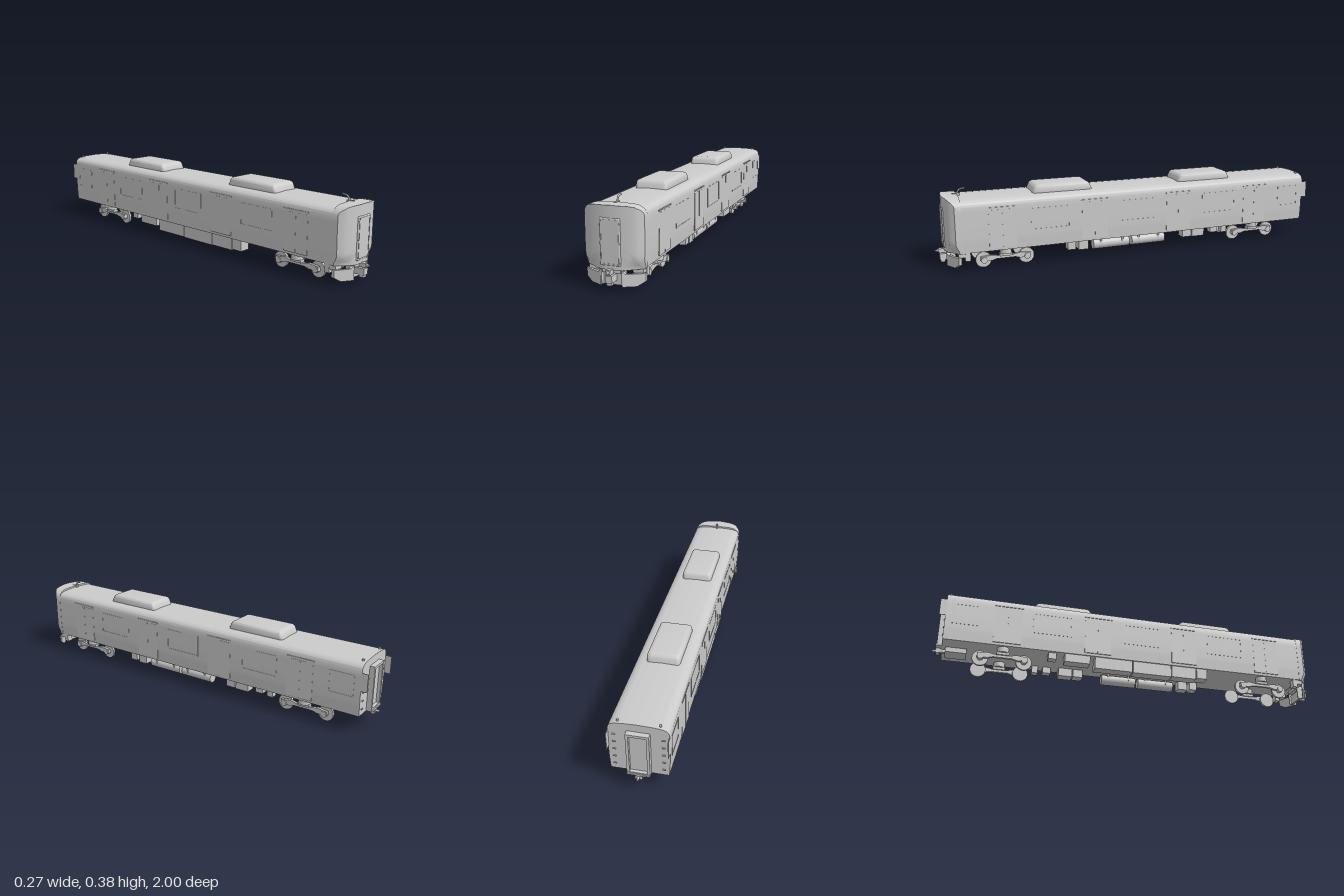
import * as THREE from 'three';
import { toCreasedNormals } from 'three/addons/utils/BufferGeometryUtils.js';
import { RoundedBoxGeometry } from 'three/addons/geometries/RoundedBoxGeometry.js';

const grey = new THREE.MeshStandardMaterial({ color: 0xcccccc });
const smooth = THREE.MathUtils.smoothstep;

function add(parent, name, geo, x = 0, y = 0, z = 0) {
  const m = new THREE.Mesh(geo, grey);
  m.name = name;
  m.position.set(x, y, z);
  parent.add(m);
  return m;
}

// Box given by its limits
function block(parent, name, x0, x1, y0, y1, z0, z1) {
  const geo = new THREE.BoxGeometry(Math.abs(x1 - x0), y1 - y0, Math.abs(z1 - z0));
  return add(parent, name, geo, (x0 + x1) / 2, (y0 + y1) / 2, (z0 + z1) / 2);
}

// Closed cross-section, counter-clockwise, from the points of its +x half
function section(half) {
  const pts = [...half, ...half.filter(p => p[0] > 0).reverse().map(([x, y]) => [-x, y])];
  return pts.flatMap(([x, y], i) => {
    const [nx, ny] = pts[(i + 1) % pts.length];
    return [0, 1, 2, 3].map(k => [x + (nx - x) * k / 4, y + (ny - y) * k / 4]);
  });
}

// Bowed cab face, drawn back at the lower corners
function nose(x, y) {
  const a = Math.abs(x);
  return 0.955 - 1.9 * a * a - 0.012 * smooth(a, 0.105, 0.133)
    - 0.02 * (1 - smooth(y, 0.09, 0.14)) * smooth(a, 0.05, 0.1);
}

// Shell along z with capped ends; each end is a z value or a function of x and y
function shell(ring, back, front) {
  const at = (f, x, y) => (typeof f === 'function' ? f(x, y) : f);
  const scales = [0.001, 0.2, 0.4, 0.6, 0.75, 0.85, 0.93, 1];
  const rows = [...scales.map(s => [s, back]), ...scales.slice().reverse().map(s => [s, front])];
  const pos = [], idx = [], n = ring.length;
  rows.forEach(([s, f], k) => ring.forEach(([rx, ry], i) => {
    const x = rx * s, y = 0.22 + (ry - 0.22) * s;
    pos.push(x, y, at(f, x, y));
    if (k < rows.length - 1) {
      const a = k * n + i, b = k * n + (i + 1) % n;
      idx.push(a, b, b + n, a, b + n, a + n);
    }
  }));
  const geo = new THREE.BufferGeometry();
  geo.setAttribute('position', new THREE.Float32BufferAttribute(pos, 3));
  geo.setIndex(idx);
  return toCreasedNormals(geo, 0.6);
}

// Rectangular frame facing +z
function frame(w, h, t, depth) {
  const rect = (p, a, b) => p.moveTo(-a, -b).lineTo(a, -b).lineTo(a, b).lineTo(-a, b).closePath();
  const s = rect(new THREE.Shape(), w / 2, h / 2);
  s.holes.push(rect(new THREE.Path(), w / 2 - t, h / 2 - t));
  return new THREE.ExtrudeGeometry(s, { depth, bevelEnabled: false });
}

function cylinder(parent, name, r, len, axis, x, y, z, sides = 24) {
  const geo = new THREE.CylinderGeometry(r, r, len, sides);
  if (axis === 'x') geo.rotateZ(Math.PI / 2);
  if (axis === 'z') geo.rotateX(Math.PI / 2);
  return add(parent, name, geo, x, y, z);
}

function makeBogie(z) {
  const g = new THREE.Group();
  g.name = 'bogie';
  g.position.z = z;
  for (const s of [-1, 1]) {
    for (const dz of [-0.104, 0.104]) {
      cylinder(g, 'wheel', 0.038, 0.012, 'x', s * 0.07, 0.038, dz, 32);
      cylinder(g, 'axleBox', 0.015, 0.024, 'x', s * 0.088, 0.04, dz, 16);
    }
    // Side frame, dropped in the middle
    const f = new THREE.Shape();
    [[-0.12, 0.035], [-0.07, 0.035], [-0.045, 0.042], [0.045, 0.042], [0.07, 0.035], [0.12, 0.035],
      [0.12, 0.056], [0.07, 0.062], [0.035, 0.056], [-0.035, 0.056], [-0.07, 0.062], [-0.12, 0.056]]
      .forEach(([u, v], i) => (i ? f.lineTo(u, v) : f.moveTo(u, v)));
    const geo = new THREE.ExtrudeGeometry(f, { depth: 0.014, bevelEnabled: false });
    geo.rotateY(Math.PI / 2);
    add(g, 'sideFrame', geo, s * 0.09 - 0.007);
    cylinder(g, 'airSpring', 0.028, 0.026, 'y', s * 0.09, 0.079, 0);
    block(g, 'springSeat', s * 0.075, s * 0.105, 0.054, 0.068, -0.03, 0.03);
  }
  return g;
}

export function createModel() {
  const car = new THREE.Group();
  car.name = 'railCar';

  // Body and slightly larger cab shell
  const body = section([[0, 0.092], [0.126, 0.092], [0.13, 0.15], [0.131, 0.2], [0.131, 0.31],
    [0.127, 0.323], [0.117, 0.333], [0.1, 0.339], [0.06, 0.343], [0, 0.345]]);
  const cab = section([[0, 0.09], [0.128, 0.09], [0.131, 0.15], [0.132, 0.2], [0.132, 0.315],
    [0.128, 0.325], [0.117, 0.337], [0.1, 0.347], [0.075, 0.351], [0, 0.354]]);
  add(car, 'body', shell(body, -0.957, 0.89));
  add(car, 'cab', shell(cab, 0.88, nose));

  // Cab end door with frame
  const door = new RoundedBoxGeometry(0.09, 0.196, 0.014, 3, 0.006);
  add(car, 'frontDoor', door, 0, 0.205, 0.95);
  add(car, 'frontDoorFrame', frame(0.078, 0.182, 0.002, 0.002), 0, 0.205, 0.9565);
  for (const s of [-1, 1]) for (const y of [0.12, 0.2, 0.28])
    block(car, 'doorHinge', s * 0.041, s * 0.043, y - 0.003, y + 0.003, 0.955, 0.959);

  // Side doors, gutters, windows and end plates
  for (const s of [-1, 1]) {
    for (const z of [0.69, 0.235, -0.215, -0.66]) {
      block(car, 'sideDoor', s * 0.12, s * 0.1316, 0.105, 0.29, z - 0.066, z + 0.066);
      block(car, 'doorSeam', s * 0.12, s * 0.1322, 0.105, 0.29, z - 0.001, z + 0.001);
      block(car, 'doorGutter', s * 0.125, s * 0.1345, 0.297, 0.303, z - 0.07, z + 0.07);
    }
    for (const [z, w] of [[0.46, 0.19], [0.005, 0.19], [-0.445, 0.19], [-0.865, 0.12]]) {
      const f = add(car, 'windowFrame', frame(w, 0.105, 0.003, 0.003), s * 0.129, 0.23, z);
      f.rotation.y = s * Math.PI / 2;
    }
    block(car, 'endPlate', s * 0.128, s * 0.131, 0.215, 0.3, -0.986, -0.95);
    for (const y of [0.12, 0.16, 0.2, 0.24, 0.28])
      block(car, 'endStep', s * 0.098, s * 0.112, y, y + 0.004, -0.962, -0.955);
    cylinder(car, 'roofEye', 0.006, 0.008, 'y', s * 0.09, 0.345, -0.94, 12);
  }

  // Rear gangway
  const gangway = add(car, 'gangwayFrame', frame(0.1, 0.215, 0.012, 0.026), 0, 0.2, -0.955);
  gangway.rotation.y = Math.PI;
  block(car, 'gangwayDoor', -0.04, 0.04, 0.095, 0.3, -0.966, -0.95);
  block(car, 'gangwaySill', -0.05, 0.05, 0.092, 0.1, -0.986, -0.955);

  // Rooftop units, sloped at the ends
  for (const z of [0.38, -0.385]) {
    const geo = new RoundedBoxGeometry(0.154, 0.06, 0.3, 4, 0.018);
    const p = geo.attributes.position;
    for (let i = 0; i < p.count; i++) {
      const t = (p.getY(i) + 0.03) / 0.06;
      p.setZ(i, p.getZ(i) * (1.06 - 0.16 * t));
    }
    geo.computeVertexNormals();
    add(car, 'roofUnit', toCreasedNormals(geo, 0.7), 0, 0.351, z);
  }

  // Roof aerial
  const path = new THREE.CatmullRomCurve3([[0.885, 0.34], [0.875, 0.36], [0.865, 0.374], [0.84, 0.378]]
    .map(([z, y]) => new THREE.Vector3(0, y, z)));
  add(car, 'aerial', new THREE.TubeGeometry(path, 10, 0.004, 8));
  block(car, 'aerialBase', -0.006, 0.006, 0.342, 0.356, 0.865, 0.9);

  // Front skirt: two swept wings and a recessed centre
  for (const s of [-1, 1]) {
    const w = new THREE.Shape();
    [[0.048, 0.02], [0.1, 0.02], [0.131, 0.04], [0.131, 0.073], [0.06, 0.073], [0.048, 0.085]]
      .forEach(([x, y], i) => (i ? w.lineTo(s * x, y) : w.moveTo(s * x, y)));
    const geo = new THREE.ExtrudeGeometry(w, { depth: 0.014, bevelEnabled: false });
    const p = geo.attributes.position;
    for (let i = 0; i < p.count; i++)
      p.setZ(i, p.getZ(i) + 0.972 - 0.55 * Math.abs(p.getX(i)));
    geo.computeVertexNormals();
    add(car, 'skirtWing', geo, 0, 0, -0.012);
    block(car, 'skirtBracket', s * 0.075, s * 0.12, 0.07, 0.092, 0.87, 0.9);
    block(car, 'skirtStay', s * 0.044, s * 0.05, 0.022, 0.092, 0.905, 0.945);
  }
  block(car, 'skirtCentre', -0.048, 0.048, 0.02, 0.068, 0.915, 0.925);
  block(car, 'couplerBeam', -0.04, 0.04, 0.075, 0.095, 0.9, 0.945);

  // Couplers
  block(car, 'frontCoupler', -0.015, 0.015, 0.04, 0.07, 0.92, 0.975);
  block(car, 'couplerHook', -0.011, 0.011, 0.028, 0.045, 0.95, 0.97);
  block(car, 'couplerHead', -0.01, 0.01, 0.074, 0.094, 0.92, 0.978);
  const tip = new THREE.ConeGeometry(0.011, 0.026, 4).rotateX(Math.PI / 2);
  add(car, 'couplerTip', tip, 0, 0.084, 0.987);
  block(car, 'rearCouplerBeam', -0.04, 0.04, 0.068, 0.095, -0.94, -0.84);
  block(car, 'rearDrawbar', -0.01, 0.01, 0.075, 0.09, -0.985, -0.93);
  block(car, 'rearCouplerHead', -0.016, 0.016, 0.068, 0.096, -0.982, -0.965);
  cylinder(car, 'rearCouplerPin', 0.006, 0.02, 'z', 0, 0.082, -0.99, 10);
  block(car, 'cabStep', 0.09, 0.122, 0.052, 0.092, 0.845, 0.87);
  block(car, 'cabStep', -0.122, -0.09, 0.052, 0.092, 0.845, 0.87);

  car.add(makeBogie(0.675), makeBogie(-0.672));

  // Underfloor equipment: x range, bottom, z range
  const boxes = [
    [0.06, 0.11, 0.05, 0.37, 0.42 - 0.09], [0.06, 0.11, 0.045, 0.315, 0.265],
    [0.06, 0.11, 0.052, -0.25, -0.3], [0.06, 0.11, 0.05, -0.305, -0.375],
    [0.07, 0.105, 0.06, -0.415, -0.455], [0.07, 0.105, 0.055, -0.48, -0.51],
    [-0.12, -0.065, 0.038, 0.36, 0.305], [-0.12, -0.065, 0.032, 0.3, 0.172],
    [-0.12, -0.065, 0.03, 0.168, -0.03], [-0.12, -0.065, 0.032, -0.034, -0.225],
    [-0.12, -0.065, 0.05, -0.25, -0.375], [-0.11, -0.07, 0.06, -0.415, -0.455],
  ];
  for (const [x0, x1, y, z0, z1] of boxes) block(car, 'underfloorBox', x0, x1, y, 0.094, z0, z1);
  for (const [z, len] of [[0.14, 0.19], [-0.06, 0.18]]) {
    cylinder(car, 'airTank', 0.026, len, 'z', 0.082, 0.06, z, 20);
    for (const d of [-0.3, 0.3]) block(car, 'tankStrap', 0.055, 0.109, 0.06, 0.094, z + d * len - 0.004, z + d * len + 0.004);
  }
  return car;
}
